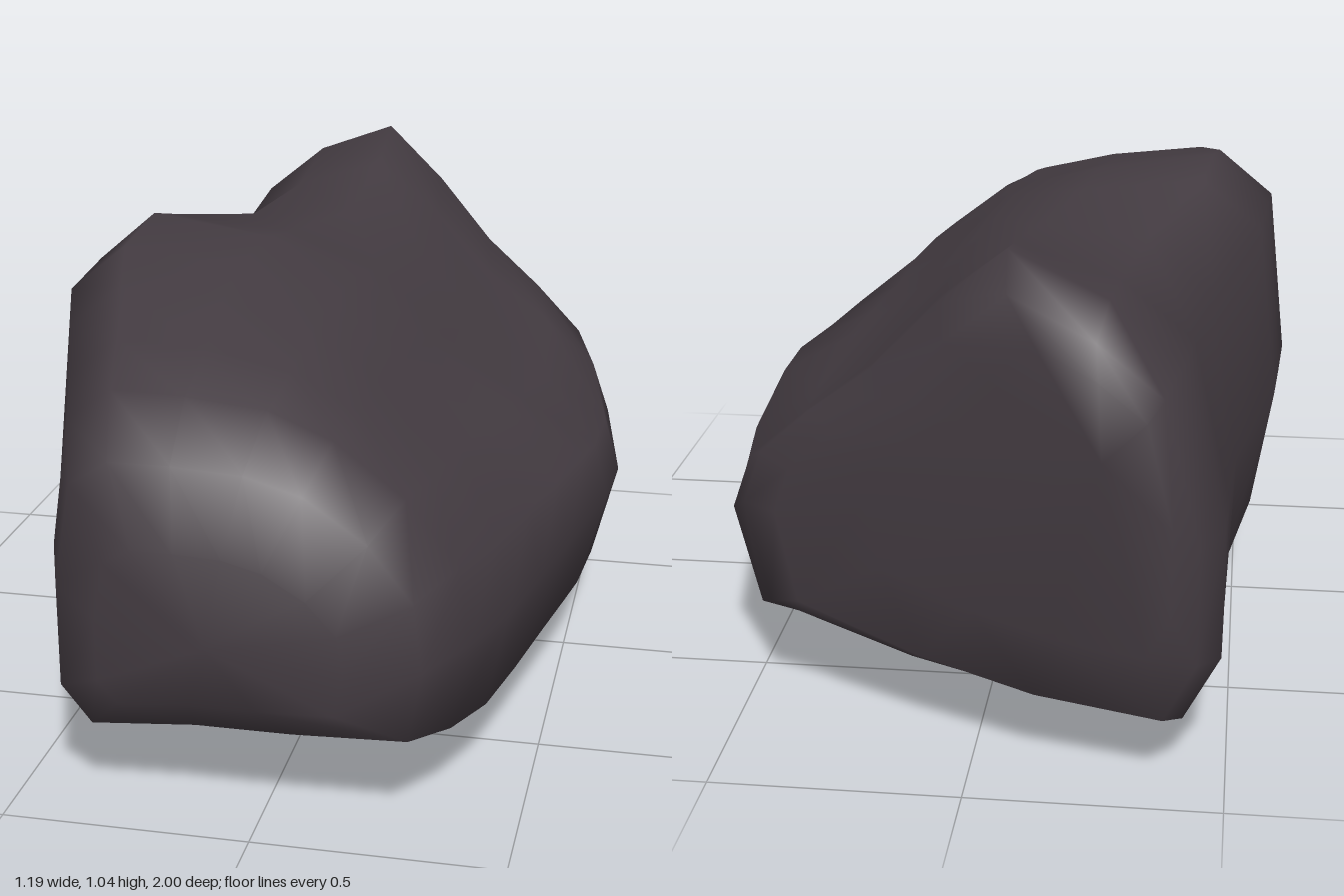
import * as THREE from 'three';

// Key outlines of the boulder (x, y), counter-clockwise from the +x tip
const BACK = [[.48, .42], [.44, .54], [.33, .65], [.2, .76], [.07, .91], [-.07, 1.04], [-.26, .96],
  [-.4, .84], [-.48, .5], [-.48, .22], [-.41, .08], [-.13, .1], [.13, .13], [.43, .2]];
const MID = [[.59, .38], [.56, .51], [.38, .61], [.2, .75], [.05, .9], [-.16, .97], [-.43, 1.01],
  [-.56, .9], [-.6, .5], [-.55, .23], [-.46, .04], [-.2, .05], [.15, .09], [.53, .16]];
const FRONT = [[.39, .36], [.37, .52], [.27, .65], [.13, .75], [0, .79], [-.16, .8], [-.3, .8],
  [-.39, .74], [-.43, .5], [-.43, .25], [-.36, .16], [-.12, .18], [.1, .18], [.36, .19]];

// Stations: z, slant of the back face, blend (-1 back, 0 middle, 1 front), x range, y range
const STATIONS = [
  [-.97, .42, -1, -.39, .22, .3, .89],
  [-.93, .36, -1, -.44, .42, .15, .97],
  [-.86, .28, -1, -.485, .49, .12, 1.04],
  [-.6, .06, -.9, -.49, .54, .06, .99],
  [-.28, 0, -.5, -.5, .59, 0, .94],
  [0, 0, -.1, -.58, .585, .04, .98],
  [.12, 0, 0, -.59, .57, .05, 1.01],
  [.3, 0, .2, -.6, .53, .06, .98],
  [.48, 0, .45, -.54, .49, .08, .945],
  [.65, 0, .7, -.485, .445, .1, .885],
  [.8, 0, .9, -.44, .39, .14, .83],
  [.92, 0, 1, -.395, .32, .18, .73],
  [.98, 0, 1, -.3, .18, .26, .58],
];

// Blend two outlines and stretch the result to the station's ranges
function ring([z, slant, t, x0, x1, y0, y1]) {
  const other = t < 0 ? BACK : FRONT;
  const pts = MID.map((p, i) => p.map((v, k) => THREE.MathUtils.lerp(v, other[i][k], Math.abs(t))));
  const xs = pts.map((p) => p[0]), ys = pts.map((p) => p[1]);
  const fit = (v, list, lo, hi) =>
    THREE.MathUtils.mapLinear(v, Math.min(...list), Math.max(...list), lo, hi);
  return pts.map(([px, py]) => {
    const x = fit(px, xs, x0, x1);
    return [x, fit(py, ys, y0, y1), z + slant * Math.max(0, x + .25)];
  });
}

export function createModel() {
  const stone = new THREE.MeshStandardMaterial({ color: 0x433b41 });
  stone.name = 'darkStone';

  const n = MID.length, last = STATIONS.length - 1;
  const vertices = STATIONS.flatMap(ring);
  const backTip = vertices.push([-.26, .7, -1]) - 1;
  const frontTip = vertices.push([-.08, .4, 1]) - 1;

  const index = [];
  for (let i = 0; i < n; i++) {
    const j = (i + 1) % n;
    // Side skin between neighbouring stations
    for (let k = 0; k < last; k++) {
      const a = k * n + i, b = k * n + j, c = b + n, d = a + n;
      index.push(a, b, d, b, c, d);
    }
    // Rounded ends
    index.push(backTip, j, i, frontTip, last * n + i, last * n + j);
  }

  const geometry = new THREE.BufferGeometry();
  geometry.setAttribute('position', new THREE.Float32BufferAttribute(vertices.flat(), 3));
  geometry.setIndex(index);
  geometry.computeVertexNormals();

  const boulder = new THREE.Mesh(geometry, stone);
  boulder.name = 'boulder';
  const group = new THREE.Group();
  group.name = 'rock';
  group.add(boulder);
  return group;
}
